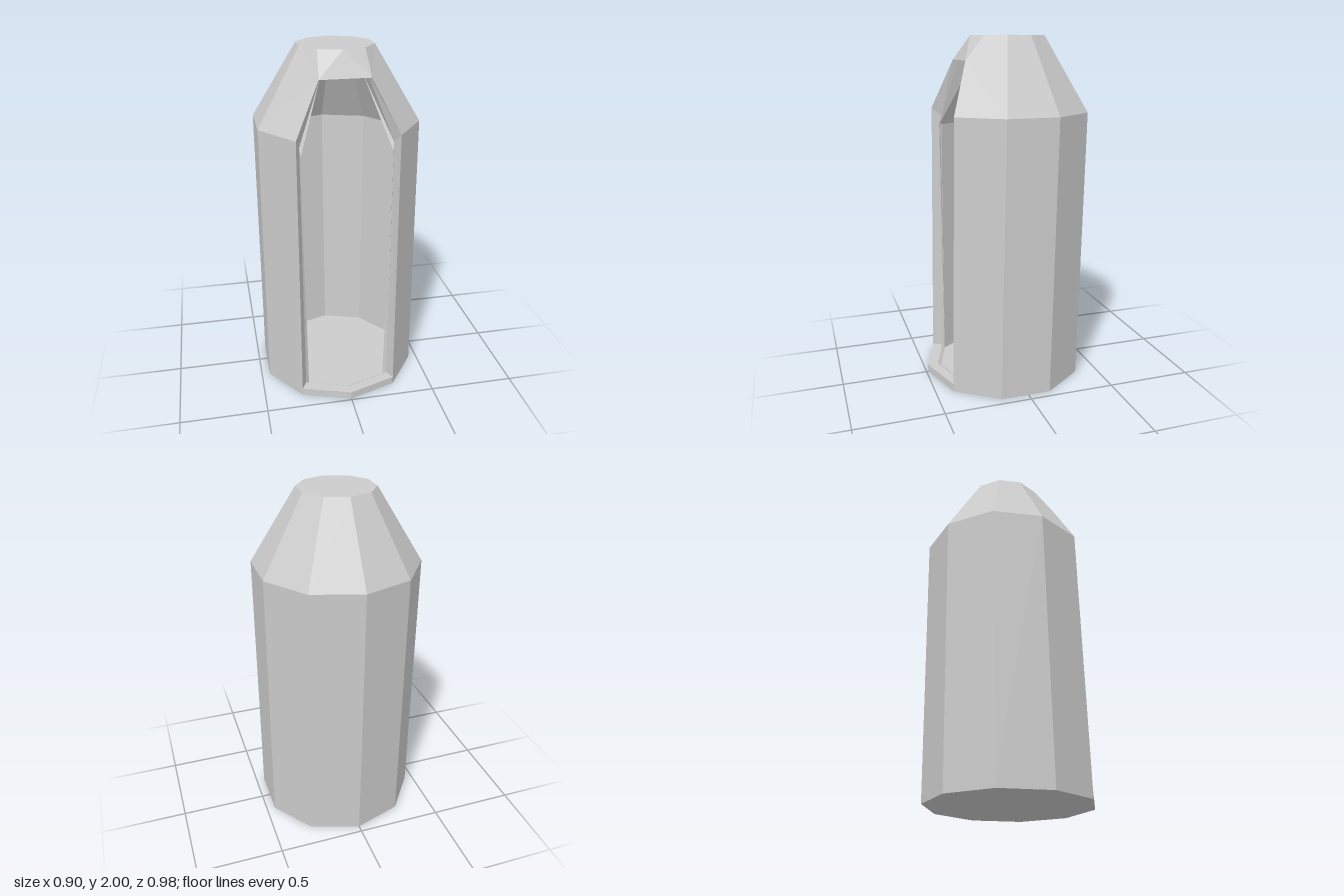
import * as THREE from 'three';

const SIDES = 10;
const material = new THREE.MeshStandardMaterial({ color: 0xcccccc, flatShading: true });

// Ten-sided cross-section; point 0 faces the front, counting towards +x
function ring(radius, y, z) {
  return Array.from({ length: SIDES }, (_, i) => {
    const a = (i / SIDES) * Math.PI * 2;
    return new THREE.Vector3(radius * Math.sin(a), y, z + radius * Math.cos(a));
  });
}

// Flat-shaded mesh from convex polygons, corners counter-clockwise
function polyMesh(name, polygons) {
  const points = [];
  for (const p of polygons) {
    for (let k = 1; k < p.length - 1; k++) points.push(p[0], p[k], p[k + 1]);
  }
  const geometry = new THREE.BufferGeometry().setFromPoints(points);
  geometry.computeVertexNormals();
  const mesh = new THREE.Mesh(geometry, material);
  mesh.name = name;
  return mesh;
}

const flip = (polygons) => polygons.map((p) => [...p].reverse());
const mirrorPoint = (p) => new THREE.Vector3(-p.x, p.y, p.z);
const mirror = (polygons) => flip(polygons).map((p) => p.map(mirrorPoint));
const both = (polygons) => [...polygons, ...mirror(polygons)];

// Panels between two rings, from side `first` to side `last`
function panels(lower, upper, first, last) {
  const out = [];
  for (let i = first; i <= last; i++) {
    const j = (i + 1) % SIDES;
    out.push([lower[i], lower[j], upper[j], upper[i]]);
  }
  return out;
}

// Strip between two paths of equal length
function strip(a, b) {
  return a.slice(1).map((p, k) => [a[k], p, b[k + 1], b[k]]);
}

export function createModel() {
  const group = new THREE.Group();
  const v = (x, y, z) => new THREE.Vector3(x, y, z);

  // Outer sections, leaning slightly backwards
  const base = ring(0.474, 0, 0.016);
  const lip = ring(0.474, 0.045, 0.015);
  const shoulder = ring(0.474, 1.58, -0.016);
  const top = ring(0.217, 2, -0.018);
  // Inner sections
  const floor = ring(0.392, 0.03, 0.015);
  const innerShoulder = ring(0.425, 1.48, -0.014);
  const ceiling = ring(0.2, 1.865, -0.017);
  // Upper corner of the doorway
  const peak = v(0.14, 1.865, 0.265);

  // Outside
  group.add(polyMesh('outerWall', panels(lip, shoulder, 1, 8)));
  group.add(polyMesh('baseBand', panels(base, lip, 0, 9)));
  group.add(polyMesh('base', flip([base])));
  group.add(polyMesh('roof', [
    ...panels(shoulder, top, 2, 7),
    ...both([
      [peak, shoulder[1], shoulder[2]],
      [peak, shoulder[2], top[2]],
      [peak, top[2], top[1]],
    ]),
  ]));
  group.add(polyMesh('roofTop', [top]));
  group.add(polyMesh('doorHood', [
    [mirrorPoint(peak), peak, top[0]],
    ...both([[peak, top[1], top[0]]]),
  ]));

  // Doorway frame: flat jamb, then a bevel into the interior
  const outer = [lip[0], lip[1], shoulder[1], peak];
  const middle = [v(0, 0.045, 0.428), v(0.25, 0.045, 0.345), v(0.255, 1.53, 0.315), v(0.13, 1.865, 0.24)];
  const inner = [floor[0], floor[1], innerShoulder[1], ceiling[1]];
  const across = (a, b) => [a[3], mirrorPoint(a[3]), mirrorPoint(b[3]), b[3]];
  group.add(polyMesh('doorFrame', [...both(strip(outer, middle)), across(outer, middle)]));
  group.add(polyMesh('doorBevel', [...both(strip(middle, inner)), across(middle, inner)]));

  // Inside
  group.add(polyMesh('innerWall', flip(panels(floor, innerShoulder, 1, 8))));
  group.add(polyMesh('innerRoof', flip(panels(innerShoulder, ceiling, 1, 8))));
  group.add(polyMesh('floor', [floor]));
  group.add(polyMesh('ceiling', flip([ceiling.slice(1)])));

  return group;
}
